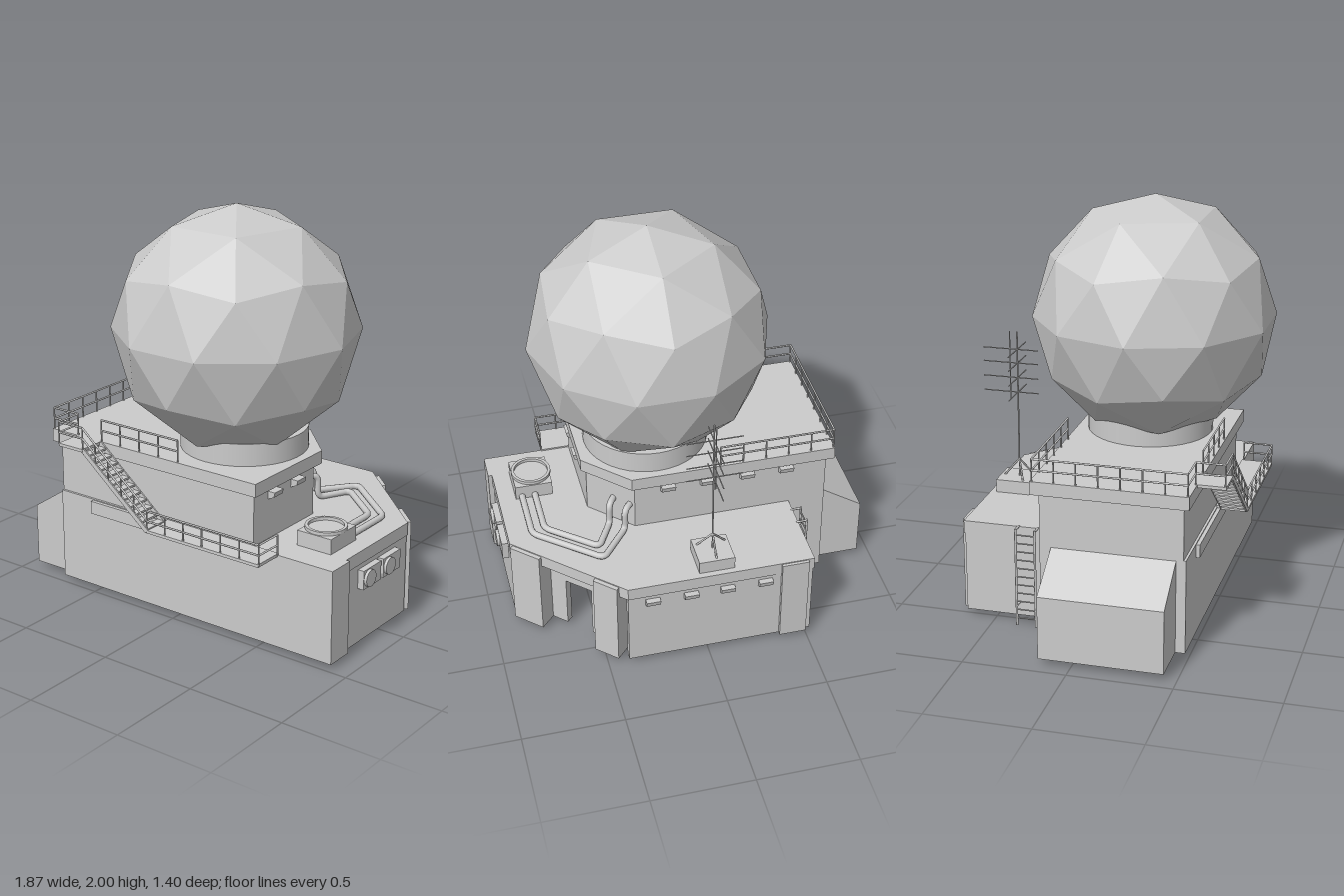
import * as THREE from 'three';

const grey = new THREE.MeshStandardMaterial({ color: 0xcccccc });
const faceted = new THREE.MeshStandardMaterial({ color: 0xcccccc, flatShading: true });

export function createModel() {
  const root = new THREE.Group();
  root.name = 'radarStation';

  const add = (name, geo, parent = root, mat = grey) => {
    const m = new THREE.Mesh(geo, mat);
    m.name = name;
    parent.add(m);
    return m;
  };
  const group = (name) => {
    const g = new THREE.Group();
    g.name = name;
    root.add(g);
    return g;
  };
  // box given by its min and max on each axis
  const box = (name, x0, x1, y0, y1, z0, z1, parent) => {
    const m = add(name, new THREE.BoxGeometry(x1 - x0, y1 - y0, z1 - z0), parent);
    m.position.set((x0 + x1) / 2, (y0 + y1) / 2, (z0 + z1) / 2);
    return m;
  };
  // plan outline of [x, z] points raised from y0 to y1
  const prism = (name, pts, y0, y1, parent) => {
    const shape = new THREE.Shape(pts.map(([x, z]) => new THREE.Vector2(x, -z)));
    const geo = new THREE.ExtrudeGeometry(shape, { depth: y1 - y0, bevelEnabled: false });
    geo.rotateX(-Math.PI / 2).translate(0, y0, 0);
    return add(name, geo, parent);
  };
  // wall from a to b in plan, thickened towards the inside
  const wall = (name, a, b, y0, y1, t, parent) => {
    const dx = b[0] - a[0], dz = b[1] - a[1], l = Math.hypot(dx, dz);
    const m = add(name, new THREE.BoxGeometry(l, y1 - y0, t), parent);
    m.position.set((a[0] + b[0]) / 2 + dz / l * t / 2, (y0 + y1) / 2, (a[1] + b[1]) / 2 - dx / l * t / 2);
    m.rotation.y = -Math.atan2(dz, dx);
    return m;
  };
  // thin round bar between two points
  const bar = (name, a, b, r, parent) => {
    const p = new THREE.Vector3(...a), d = new THREE.Vector3(...b).sub(p);
    const m = add(name, new THREE.CylinderGeometry(r, r, d.length(), 6), parent);
    m.position.copy(p).addScaledVector(d, 0.5);
    m.quaternion.setFromUnitVectors(new THREE.Vector3(0, 1, 0), d.normalize());
    return m;
  };
  // railing with posts along a floor path
  const railing = (name, path, h = 0.108) => {
    const g = group(name);
    for (let i = 0; i + 1 < path.length; i++) {
      const a = path[i], b = path[i + 1];
      const up = (p, k) => [p[0], p[1] + k, p[2]];
      for (const k of [0.5, 1]) bar('rail', up(a, h * k), up(b, h * k), 0.005, g);
      const n = Math.max(1, Math.round(Math.hypot(b[0] - a[0], b[1] - a[1], b[2] - a[2]) / 0.11));
      for (let j = 0; j <= n; j++) {
        const p = a.map((v, c) => v + (b[c] - v) * j / n);
        bar('post', p, up(p, h), 0.004, g);
      }
    }
  };

  // Radome: subdivided icosahedron with one corner upwards
  const dome = new THREE.IcosahedronGeometry(0.595, 1);
  dome.rotateZ(Math.atan2(1, (1 + Math.sqrt(5)) / 2)).rotateY(-Math.PI / 2);
  add('radome', dome, root, faceted).position.set(0.11, 1.405, 0.13);
  add('radomeBase', new THREE.CylinderGeometry(0.31, 0.31, 0.11, 40)).position.set(0.14, 0.875, 0.105);

  // Lower building: hollow walls under a roof slab
  const lower = group('lowerBuilding');
  const B = [0.885, -0.19], A = [0.4, -0.645];
  const outline = [A, [-0.52, -0.645], [-0.52, -0.21], [-0.71, -0.21], [-0.71, 0.487], [0.885, 0.487], B];
  for (let i = 0; i + 1 < outline.length; i++) wall('outerWall', outline[i], outline[i + 1], 0.03, 0.43, 0.04, lower);
  prism('lowerRoof', [[0.4, -0.65], [-0.525, -0.65], [-0.525, -0.21], [-0.71, -0.21], [-0.71, 0.487], [0.89, 0.487], [0.89, -0.19]], 0.43, 0.495, lower);
  box('cornerPier', 0.88, 0.91, 0.03, 0.495, 0.345, 0.487, lower);
  box('backPier', -0.495, -0.36, 0.03, 0.49, -0.665, -0.6, lower);
  box('frontLedge', -0.505, 0.34, 0.425, 0.49, 0.48, 0.505, lower);

  // Angled entrance: recessed wall with doorway between two piers
  const L = Math.hypot(A[0] - B[0], A[1] - B[1]);
  const d = [(A[0] - B[0]) / L, (A[1] - B[1]) / L];
  const f = (t, inset) => [B[0] + d[0] * t * L + d[1] * inset, B[1] + d[1] * t * L - d[0] * inset];
  for (const [t0, t1, y0] of [[0, 0.4, 0.03], [0.4, 0.62, 0.31], [0.62, 1, 0.03]])
    wall('entranceWall', f(t0, 0.07), f(t1, 0.07), y0, 0.43, 0.04, lower);
  for (const [t0, t1] of [[0.02, 0.27], [0.73, 0.93]])
    wall('entrancePier', f(t0, -0.025), f(t1, -0.025), 0.03, 0.49, 0.13, lower);

  // Inner partitions
  box('partition', -0.1, -0.06, 0.03, 0.43, -0.6, -0.3, lower);
  box('partition', -0.3, 0.2, 0.03, 0.43, -0.12, -0.08, lower);
  box('partition', 0.3, 0.34, 0.03, 0.43, 0.0, 0.25, lower);

  // Sloped side annex
  const annex = new THREE.Shape([[-0.935, 0.03], [-0.47, 0.03], [-0.47, 0.43], [-0.71, 0.49], [-0.935, 0.34]].map((p) => new THREE.Vector2(...p)));
  add('sideAnnex', new THREE.ExtrudeGeometry(annex, { depth: 0.595, bevelEnabled: false })).position.z = -0.155;

  // Upper building and its roof slab, both with a cut back corner
  const cut = (x0, x1, z0, z1, c) => [[x0, z1], [x1, z1], [x1, z0 + c], [x1 - c, z0], [x0, z0]];
  prism('upperBuilding', cut(-0.71, 0.465, -0.21, 0.475, 0.2), 0.49, 0.76);
  prism('upperRoof', cut(-0.742, 0.495, -0.245, 0.505, 0.21), 0.755, 0.82);

  // Stairs, landing and walkway on the front
  const stairs = group('stairs');
  box('landing', -0.58, -0.43, 0.805, 0.82, 0.5, 0.64, stairs);
  box('walkway', -0.04, 0.61, 0.488, 0.503, 0.48, 0.64, stairs);
  const steps = 11;
  for (let i = 0; i < steps; i++) {
    const x = -0.43 + 0.39 * i / steps, y = 0.82 - 0.32 * (i + 0.7) / steps;
    box('step', x, x + 0.042, y - 0.01, y, 0.512, 0.633, stairs);
  }
  for (const z of [0.51, 0.635]) {
    const s = box('stringer', -0.252, 0.252, -0.012, 0.012, -0.004, 0.004, stairs);
    s.position.set(-0.235, 0.655, z);
    s.rotation.z = -Math.atan2(0.32, 0.39);
  }

  // Railings
  const R = 0.82, W = 0.495;
  railing('roofRailing', [[-0.16, R, -0.235], [-0.735, R, -0.235], [-0.735, R, 0.497], [-0.58, R, 0.497], [-0.58, R, 0.635], [-0.43, R, 0.635]]);
  railing('roofFrontRailing', [[-0.43, R, 0.497], [0.04, R, 0.497]]);
  railing('stairRailing', [[-0.43, R, 0.635], [-0.04, W, 0.635]]);
  railing('walkwayRailing', [[-0.04, W, 0.635], [0.61, W, 0.635], [0.61, W, 0.49]], 0.103);

  // Ladder on the side
  const ladder = group('ladder');
  for (const z of [-0.375, -0.28]) {
    bar('ladderRail', [-0.57, 0, z], [-0.57, 0.5, z], 0.006, ladder);
    for (const y of [0.1, 0.494]) bar('ladderBracket', [-0.57, y, z], [-0.515, y, z], 0.006, ladder);
  }
  for (let i = 0; i < 11; i++) bar('rung', [-0.57, 0.04 + i * 0.043, -0.375], [-0.57, 0.04 + i * 0.043, -0.28], 0.004, ladder);

  // Wall fans
  const fans = group('wallFans');
  for (const z of [0.16, -0.01]) {
    box('fanHousing', 0.88, 0.917, 0.31, 0.405, z - 0.075, z + 0.075, fans);
    const ring = add('fanRing', new THREE.CylinderGeometry(0.042, 0.042, 0.016, 24), fans);
    ring.rotation.z = Math.PI / 2;
    ring.position.set(0.923, 0.358, z + 0.03);
  }

  // Roof vent: housing with an open ring
  const vent = group('roofVent');
  box('ventHousing', 0.615, 0.802, 0.49, 0.57, 0.13, 0.34, vent);
  const ringProfile = [[0.085, 0], [0.1, 0], [0.1, 0.017], [0.085, 0.017], [0.085, 0]].map((p) => new THREE.Vector2(...p));
  add('ventRing', new THREE.LatheGeometry(ringProfile, 28), vent, faceted).position.set(0.705, 0.569, 0.235);

  // Twin roof pipes running to the upper wall
  const pipes = group('roofPipes');
  const runs = [
    [[0.77, 0.14], [0.77, -0.16], [0.465, -0.415], [0.32, -0.23], [0.27, -0.17]],
    [[0.705, 0.14], [0.705, -0.135], [0.47, -0.33], [0.385, -0.17], [0.34, -0.1]],
  ];
  for (const [a, b, c, e, w] of runs) {
    const y = 0.51, h = 0.625;
    const pts = [[a[0], y, a[1]], [b[0], y, b[1]], [c[0], y, c[1]], [e[0], y, e[1]], [e[0], h, e[1]], [w[0], h, w[1]]].map((p) => new THREE.Vector3(...p));
    const path = new THREE.CurvePath();
    let last = pts[0];
    for (let i = 1; i + 1 < pts.length; i++) {
      const p = pts[i];
      const toward = (q) => p.clone().add(q.clone().sub(p).setLength(0.035));
      const p0 = toward(pts[i - 1]), p1 = toward(pts[i + 1]);
      path.add(new THREE.LineCurve3(last, p0));
      path.add(new THREE.QuadraticBezierCurve3(p0, p, p1));
      last = p1;
    }
    path.add(new THREE.LineCurve3(last, pts[5]));
    add('pipe', new THREE.TubeGeometry(path, 100, 0.016, 10), pipes);
  }

  // Lamps: sloped hood, placed by position and outward angle
  const lamps = group('lamps');
  const hood = new THREE.Shape([[0, 0.02], [0.04, 0.02], [0.034, -0.005], [0, -0.02]].map((p) => new THREE.Vector2(...p)));
  const hoodGeo = new THREE.ExtrudeGeometry(hood, { depth: 0.07, bevelEnabled: false }).translate(0, 0, -0.035);
  const lamp = (x, y, z, turn) => {
    const m = add('lamp', hoodGeo, lamps);
    m.position.set(x, y, z);
    m.rotation.y = turn;
  };
  for (const z of [0.33, 0.145]) lamp(0.465, 0.715, z, 0);
  for (const x of [-0.28, -0.09, 0.09, 0.28]) lamp(x, 0.39, -0.635, Math.PI / 2);
  for (const x of [-0.5, -0.3, -0.1, 0.1]) lamp(x, 0.715, -0.208, Math.PI / 2);

  // Antenna mast with tripod and crossbars
  const mast = group('antenna');
  const mx = -0.045, mz = -0.525;
  box('antennaBase', mx - 0.088, mx + 0.088, 0.49, 0.56, -0.62, -0.445, mast);
  bar('mast', [mx, 0.56, mz], [mx, 1.31, mz], 0.004, mast);
  for (const [x, z] of [[-0.12, -0.483], [0.025, -0.483], [mx, -0.605]]) bar('tripodLeg', [x, 0.555, z], [mx, 0.65, mz], 0.005, mast);
  for (const y of [1.0, 1.075, 1.15, 1.22]) {
    bar('crossbar', [mx, y, -0.7], [mx, y, -0.42], 0.003, mast);
    bar('crossbar', [mx - 0.14, y, mz], [mx + 0.13, y, mz], 0.003, mast);
  }
  bar('antennaRod', [mx, 0.96, -0.563], [mx, 1.31, -0.563], 0.003, mast);

  return root;
}
